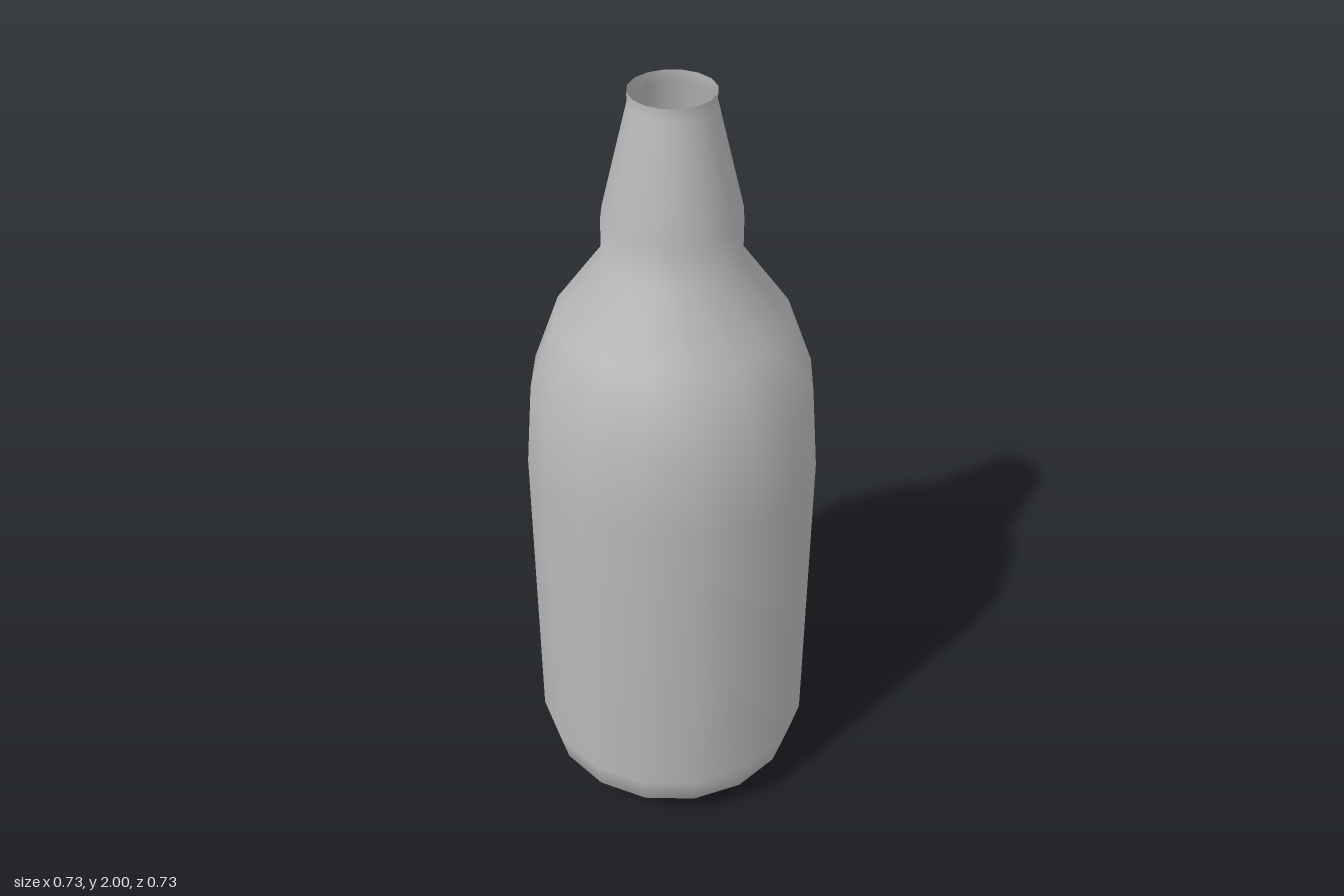
import * as THREE from 'three';

export function createModel() {
  const model = new THREE.Group();
  model.name = 'bottle';

  const greyGlass = new THREE.MeshStandardMaterial({ color: 0xb8b8b8, side: THREE.DoubleSide });
  greyGlass.name = 'grey glass';

  // Radius and height from the floor centre up to the open mouth
  const profile = [
    [0, 0], [0.19, 0], [0.285, 0.03], [0.34, 0.09], [0.363, 0.18], // rounded base
    [0.363, 1.04], [0.345, 1.26], [0.28, 1.44], [0.165, 1.6],      // body and shoulder
    [0.165, 1.7], [0.1, 1.97], [0.1, 2],                           // collar, neck, lip
  ].map(([r, y]) => new THREE.Vector2(r, y));

  // Thin shell, open at the mouth
  const shell = new THREE.Mesh(new THREE.LatheGeometry(profile, 16), greyGlass);
  shell.name = 'bottleShell';
  model.add(shell);

  return model;
}
